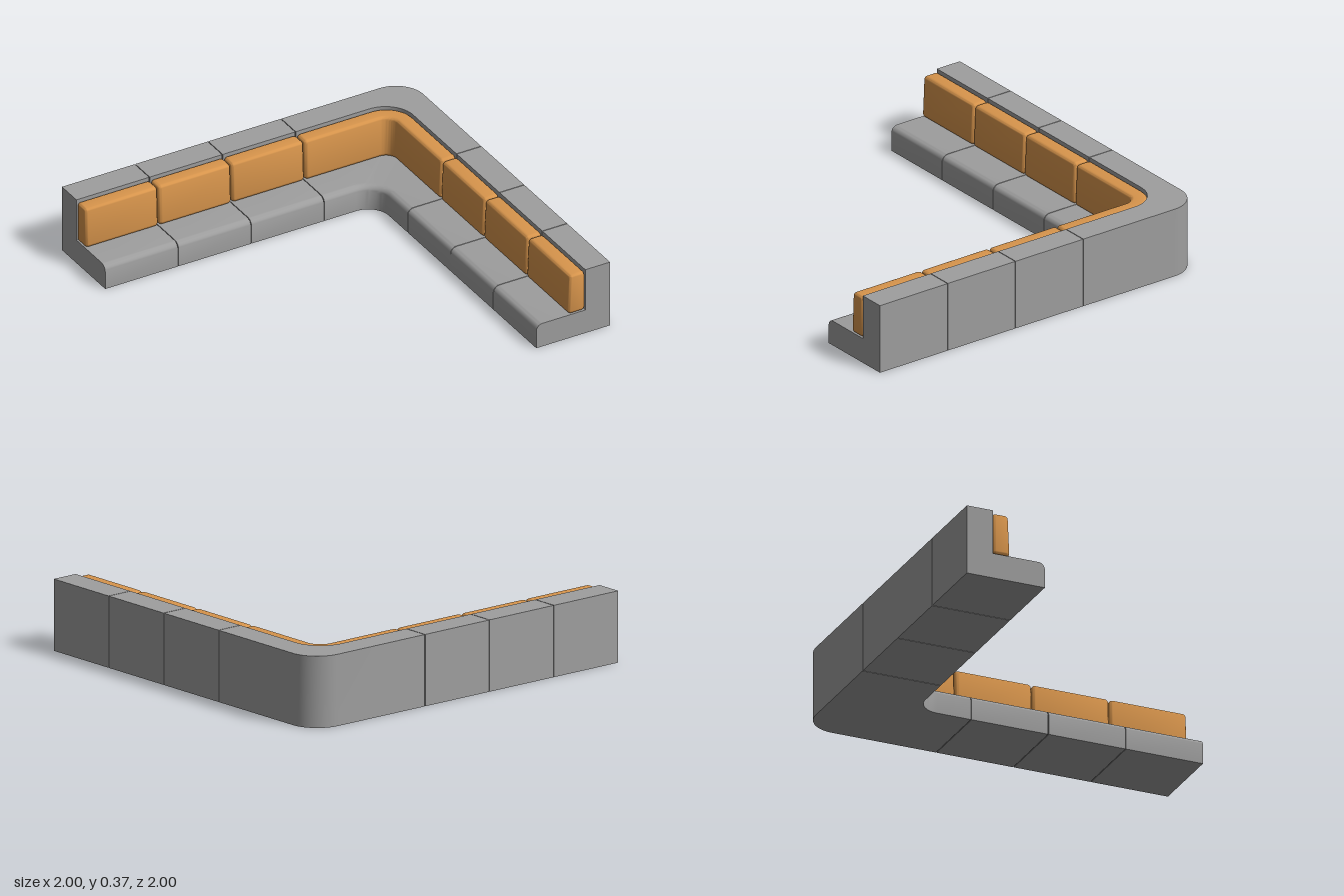
import * as THREE from 'three';
import { toCreasedNormals } from 'three/addons/utils/BufferGeometryUtils.js';

const SEAT_H = 0.135, BACK_H = 0.372, CUSHION_H = 0.36;
const GAP = 0.002, ROUND = 0.02;

// A station maps (d = distance in from the outer face, r = bend radius) to [x, z]
const onBack = (x) => (d) => [x, -1 + d];
const onSide = (z) => (d) => [1 - d, z];
const onBend = (a) => (d, r) => {
  const c = 1 - d - r;
  return [c + r * Math.sin(a), -c - r * Math.cos(a)];
};

// Sweep closed profiles [d, y] through stations, with a cap at each end
function sweep(rings, radiusAt) {
  const n = rings[0].profile.length, pos = [], idx = [];
  for (const { profile, at } of rings) {
    for (const [d, y] of profile) {
      const [x, z] = at(d, radiusAt(d));
      pos.push(x, y, z);
    }
  }
  for (let i = 0; i < rings.length - 1; i++) {
    for (let j = 0; j < n; j++) {
      const k = (j + 1) % n;
      const a = i * n + j, b = i * n + k, c = b + n, d = a + n;
      idx.push(a, c, b, a, d, c);
    }
  }
  const outline = rings[0].profile.map(([d, y]) => new THREE.Vector2(d, y));
  const last = (rings.length - 1) * n;
  for (const [a, b, c] of THREE.ShapeUtils.triangulateShape(outline, [])) {
    idx.push(a, b, c, last + c, last + b, last + a);
  }
  const g = new THREE.BufferGeometry();
  g.setAttribute('position', new THREE.Float32BufferAttribute(pos, 3));
  g.setIndex(idx);
  return toCreasedNormals(g, 0.6);
}

// Seat and backrest outline with a rounded front edge
function baseProfile() {
  const p = [[0, 0], [0.427, 0]];
  for (let i = 0; i <= 6; i++) {
    const a = (i / 6) * Math.PI / 2;
    p.push([0.392 + 0.035 * Math.cos(a), SEAT_H - 0.035 + 0.035 * Math.sin(a)]);
  }
  p.push([0.143, SEAT_H], [0.143, BACK_H], [0, BACK_H]);
  return p;
}

// Leaning cushion outline, drawn in by e
function cushionProfile(e) {
  const b = ROUND, p = [];
  const core = [[0.143 + b, CUSHION_H - b], [0.143 + b, SEAT_H + b],
    [0.239 - b, SEAT_H + b], [0.231 - b, CUSHION_H - b]];
  core.forEach(([d, y], q) => {
    for (let i = 0; i <= 5; i++) {
      const a = (q + 1 + i / 5) * Math.PI / 2;
      p.push([d + (b - e) * Math.cos(a), y + (b - e) * Math.sin(a)]);
    }
  });
  return p;
}

const baseRadius = (d) => (d > 0.3 ? 0.547 - d : 0.16);
const cushionRadius = (d) => 0.297 - d;

function bendStations() {
  const s = [];
  for (let i = 0; i <= 16; i++) s.push(onBend((i / 16) * Math.PI / 2));
  return s;
}

function makeBase(start, end, middle) {
  const profile = baseProfile();
  return sweep([start, ...middle, end].map((at) => ({ profile, at })), baseRadius);
}

// Cushion with rounded ends; arms are given as station makers
function makeCushion(armA, t0, armB, t1, middle) {
  const rings = [], steps = 5;
  const endRing = (arm, t, dir, i) => {
    const a = 0.1 + (i / steps) * (Math.PI / 2 - 0.1);
    return {
      profile: cushionProfile(ROUND * (1 - Math.sin(a))),
      at: arm(t + dir * ROUND * (1 - Math.cos(a))),
    };
  };
  for (let i = 0; i <= steps; i++) rings.push(endRing(armA, t0, 1, i));
  for (const at of middle) rings.push({ profile: cushionProfile(0), at });
  for (let i = steps; i >= 0; i--) rings.push(endRing(armB, t1, -1, i));
  return sweep(rings, cushionRadius);
}

export function createModel() {
  const grey = new THREE.MeshStandardMaterial({ color: 0x9e9e9e });
  grey.name = 'grey upholstery';
  const tan = new THREE.MeshStandardMaterial({ color: 0xd8954c });
  tan.name = 'tan cushion';

  const sofa = new THREE.Group();
  sofa.name = 'cornerSofa';
  const add = (parent, name, geometry, material) => {
    const m = new THREE.Mesh(geometry, material);
    m.name = name;
    parent.add(m);
  };
  const section = (name) => {
    const g = new THREE.Group();
    g.name = name;
    sofa.add(g);
    return g;
  };

  // Straight modules, three on each arm
  const joints = [-1, -0.577, -0.154, 0.269];
  for (let i = 0; i < 3; i++) {
    const lo = joints[i] + (i ? GAP : 0), hi = joints[i + 1] - GAP;
    const back = section(`backSection${i + 1}`);
    add(back, 'seatAndBackrest', makeBase(onBack(lo), onBack(hi), []), grey);
    add(back, 'backCushion', makeCushion(onBack, lo, onBack, hi, []), tan);
    const side = section(`sideSection${i + 1}`);
    add(side, 'seatAndBackrest', makeBase(onSide(-hi), onSide(-lo), []), grey);
    add(side, 'backCushion', makeCushion(onSide, -hi, onSide, -lo, []), tan);
  }

  // Curved corner module
  const t = joints[3] + GAP;
  const corner = section('cornerSection');
  add(corner, 'cornerSeatAndBackrest', makeBase(onBack(t), onSide(-t), bendStations()), grey);
  add(corner, 'cornerCushion', makeCushion(onBack, t, onSide, -t, bendStations()), tan);

  return sofa;
}
